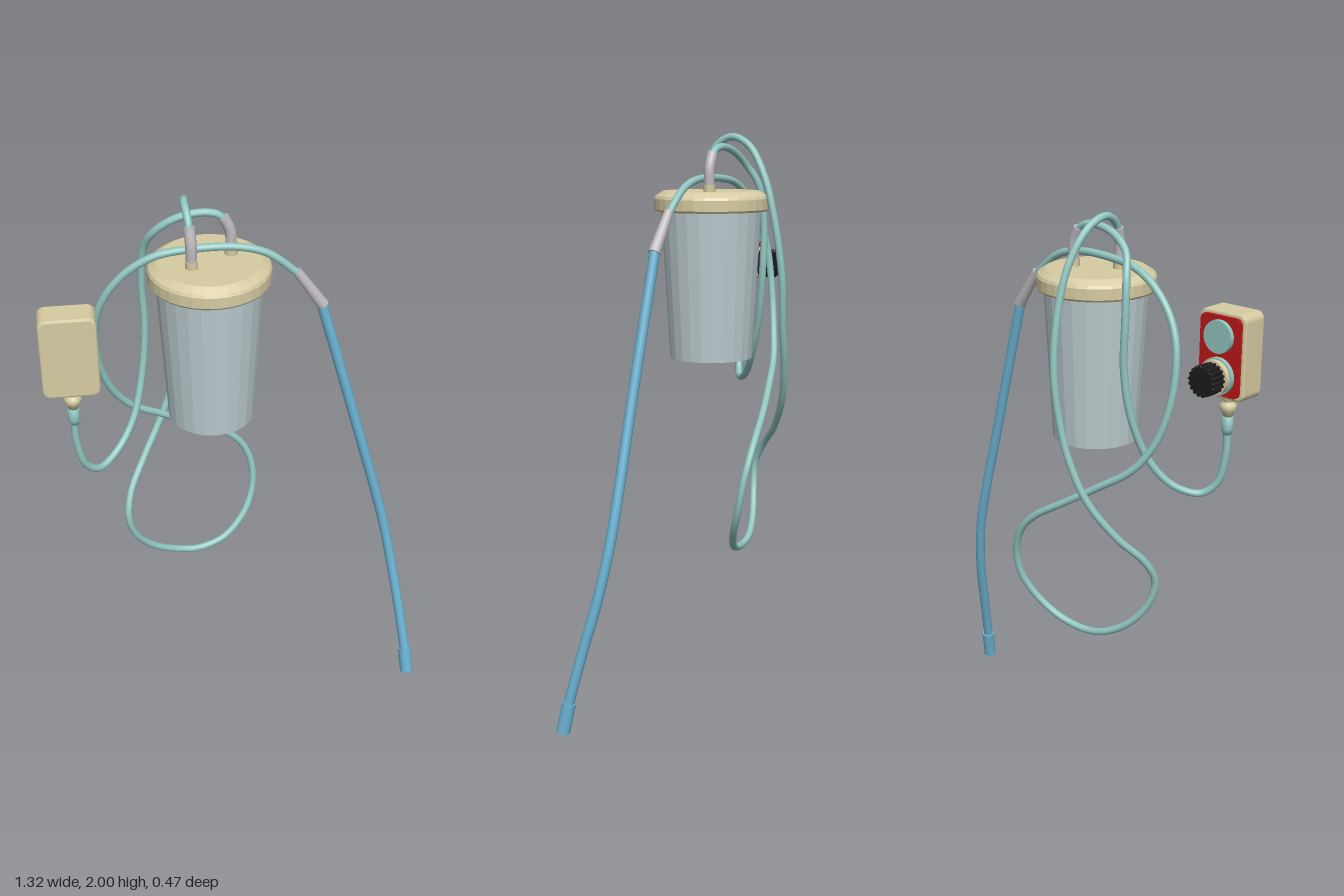
import * as THREE from 'three';

const mat = (color, extra = {}) => new THREE.MeshStandardMaterial({ color, ...extra });
const MATS = {
  cream: mat(0xd6cba2),
  lid: mat(0xd6cba2, { flatShading: true }),
  pail: mat(0xbccbce, { flatShading: true }),
  cable: mat(0x92c6c0),
  hose: mat(0x6cb4d4),
  hoseEnd: mat(0x6cb4d4, { side: THREE.DoubleSide }),
  sheath: mat(0xbfbabf),
  red: mat(0xc01818),
  black: mat(0x1c1c1c, { flatShading: true }),
};

const V = (p) => new THREE.Vector3(...p);

function add(parent, name, geometry, material, pos = [0, 0, 0]) {
  const mesh = new THREE.Mesh(geometry, material);
  mesh.name = name;
  mesh.position.set(...pos);
  parent.add(mesh);
  return mesh;
}

// Round tube running smoothly through a few points
function tube(parent, name, points, radius, material, steps) {
  const curve = new THREE.CatmullRomCurve3(points.map(V), false, 'centripetal');
  return add(parent, name, new THREE.TubeGeometry(curve, steps, radius, 12), material);
}

// Straight (optionally tapered) cylinder from a to b
function rod(parent, name, a, b, ra, rb, material, open = false) {
  const from = V(a), dir = V(b).sub(from);
  const geo = new THREE.CylinderGeometry(rb, ra, dir.length(), 16, 1, open);
  const mesh = add(parent, name, geo, material);
  mesh.position.copy(from).addScaledVector(dir, 0.5);
  mesh.quaternion.setFromUnitVectors(new THREE.Vector3(0, 1, 0), dir.normalize());
  return mesh;
}

function lathe(points, segments) {
  return new THREE.LatheGeometry(points.map((p) => new THREE.Vector2(...p)), segments);
}

// Plate with rounded corners, thickness along z from 0 to d
function roundedPlate(w, h, d, r, bevel) {
  const x = w / 2 - bevel, y = h / 2 - bevel, s = new THREE.Shape();
  s.absarc(x - r, y - r, r, 0, Math.PI / 2);
  s.absarc(-x + r, y - r, r, Math.PI / 2, Math.PI);
  s.absarc(-x + r, -y + r, r, Math.PI, Math.PI * 1.5);
  s.absarc(x - r, -y + r, r, Math.PI * 1.5, Math.PI * 2);
  const geo = new THREE.ExtrudeGeometry(s, {
    depth: d - 2 * bevel, bevelEnabled: bevel > 0, bevelSize: bevel,
    bevelThickness: bevel, bevelSegments: 2, curveSegments: 6,
  });
  return geo.translate(0, 0, bevel);
}

// Disc facing backwards, spanning z0 to z1
function disc(parent, name, radius, y, z0, z1, material) {
  const geo = new THREE.CylinderGeometry(radius, radius, z1 - z0, 28).rotateX(Math.PI / 2);
  return add(parent, name, geo, material, [0, y, (z0 + z1) / 2]);
}

function createPail() {
  const g = new THREE.Group();
  g.name = 'canister';
  g.position.set(-0.1, 0, 0.03);
  add(g, 'canisterBody', new THREE.CylinderGeometry(0.178, 0.147, 0.53, 24), MATS.pail, [0, 1.47, 0]);
  add(g, 'canisterLid', lathe([[0, 1.728], [0.198, 1.728], [0.203, 1.735], [0.203, 1.772],
    [0.198, 1.782], [0.172, 1.798], [0, 1.798]], 32), MATS.lid);
  return g;
}

function createControlBox() {
  const g = new THREE.Group();
  g.name = 'controlBox';
  g.position.set(-0.571, 1.571, 0);
  add(g, 'boxHousing', roundedPlate(0.186, 0.29, 0.1, 0.02, 0.007), MATS.cream, [0, 0, 0.11]);
  add(g, 'redFacePlate', roundedPlate(0.162, 0.266, 0.012, 0.022, 0), MATS.red, [0, 0, 0.1]);

  // Round push button
  disc(g, 'button', 0.055, 0.066, 0.084, 0.102, MATS.cable);
  // Stepped base and fluted knob
  disc(g, 'knobBase', 0.063, -0.066, 0.084, 0.102, MATS.cable);
  disc(g, 'knobCollar', 0.058, -0.066, 0.066, 0.085, MATS.cream);
  const flutes = [];
  for (let i = 0; i < 72; i++) {
    const a = (i / 72) * Math.PI * 2, r = i % 4 < 2 ? 0.052 : 0.046;
    flutes.push(new THREE.Vector2(r * Math.cos(a), r * Math.sin(a)));
  }
  const knob = new THREE.ExtrudeGeometry(new THREE.Shape(flutes), {
    depth: 0.054, bevelEnabled: true, bevelSize: 0.001, bevelThickness: 0.003, bevelSegments: 1,
  });
  add(g, 'knob', knob, MATS.black, [0, -0.066, 0.01]);

  // Cable gland below the housing
  const gland = lathe([[0, 0], [0.016, 0], [0.022, -0.008], [0.022, -0.018], [0.016, -0.022], [0.018, -0.028],
    [0.029, -0.034], [0.029, -0.052], [0.02, -0.06], [0.016, -0.078], [0, -0.078]].reverse(), 12);
  add(g, 'cableGland', gland, MATS.cream, [0, -0.142, 0.16]);
  add(g, 'glandSleeve', lathe([[0, -0.14], [0.014, -0.14], [0.02, -0.12], [0.02, -0.076], [0, -0.076]], 16),
    MATS.cable, [0, -0.142, 0.16]);
  return g;
}

// Collar and bent sheath where a cable enters the lid
function createInlet(name, base, mid, tip) {
  const g = new THREE.Group();
  g.name = name;
  rod(g, 'inletCollar', [base[0], 1.79, base[2]], [base[0], 1.822, base[2]], 0.021, 0.021, MATS.cream);
  tube(g, 'inletSheath', [base, mid, tip], 0.0185, MATS.sheath, 14);
  rod(g, 'inletSheathTip', mid.map((m, i) => m + (tip[i] - m) * 0.9), tip, 0.0186, 0.0186, MATS.sheath);
  return g;
}

export function createModel() {
  const model = new THREE.Group();
  model.name = 'canisterWithControlBoxAndHose';
  model.add(createPail(), createControlBox());

  model.add(createInlet('frontInlet', [-0.162, 1.81, 0.075], [-0.163, 1.88, 0.074], [-0.166, 1.935, 0.06]));
  model.add(createInlet('rearInlet', [-0.026, 1.81, -0.003], [-0.028, 1.88, -0.003], [-0.05, 1.93, -0.003]));

  // Cable from the control box up to the lid
  tube(model, 'controlCable', [
    [-0.571, 1.31, 0.16], [-0.57, 1.22, 0.16], [-0.545, 1.11, 0.15], [-0.498, 1.068, 0.122],
    [-0.43, 1.095, 0.06], [-0.37, 1.18, 0.005], [-0.33, 1.33, -0.045], [-0.312, 1.5, -0.068],
    [-0.316, 1.68, -0.07], [-0.305, 1.81, -0.055], [-0.27, 1.885, -0.02], [-0.2, 1.934, -0.006],
    [-0.115, 1.95, -0.003], [-0.06, 1.935, -0.003], [-0.03, 1.88, -0.003],
  ], 0.013, MATS.cable, 140);

  // Long looping cable from the lid, behind the canister, to the hose
  tube(model, 'loopCable', [
    [-0.163, 1.88, 0.074], [-0.168, 1.95, 0.05], [-0.174, 1.985, -0.01], [-0.166, 1.955, -0.085],
    [-0.148, 1.85, -0.155], [-0.14, 1.7, -0.2], [-0.147, 1.5, -0.228], [-0.17, 1.32, -0.222],
    [-0.205, 1.19, -0.212], [-0.26, 1.05, -0.18], [-0.335, 0.92, -0.11], [-0.39, 0.83, -0.035],
    [-0.405, 0.75, 0.005], [-0.385, 0.66, 0], [-0.32, 0.57, -0.03], [-0.23, 0.515, -0.06],
    [-0.145, 0.5, -0.072], [-0.045, 0.525, -0.095], [0.035, 0.6, -0.135], [0.073, 0.69, -0.172],
    [0.074, 0.79, -0.192], [0.04, 0.88, -0.2], [-0.02, 0.945, -0.193], [-0.125, 1.012, -0.168],
    [-0.255, 1.095, -0.128], [-0.37, 1.175, -0.088], [-0.44, 1.28, -0.052], [-0.477, 1.42, -0.025],
    [-0.477, 1.58, -0.003], [-0.44, 1.68, 0.013], [-0.37, 1.765, 0.022], [-0.28, 1.82, 0.028],
    [-0.17, 1.84, 0.031], [-0.01, 1.84, 0.034], [0.09, 1.81, 0.035], [0.2, 1.72, 0.036],
  ], 0.013, MATS.cable, 320);

  // Grey joint between cable and hose
  rod(model, 'hoseJoint', [0.185, 1.738, 0.036], [0.276, 1.606, 0.04], 0.016, 0.021, MATS.sheath);

  // Stiff blue hose with a slight bend and a wider open end
  tube(model, 'hose', [
    [0.27, 1.615, 0.04], [0.345, 1.35, 0.046], [0.42, 1.08, 0.052], [0.495, 0.81, 0.056],
    [0.535, 0.65, 0.065], [0.572, 0.46, 0.095], [0.6, 0.29, 0.136], [0.627, 0.1, 0.18], [0.633, 0.04, 0.192],
  ], 0.018, MATS.hose, 80);
  const top = [0.626, 0.11, 0.177], end = [0.637, 0.006, 0.196];
  rod(model, 'hoseEndSleeve', top, end, 0.024, 0.024, MATS.hoseEnd, true);
  rod(model, 'hoseEndShoulder', top, [0.6275, 0.1, 0.179], 0.0235, 0.0235, MATS.hose);
  rod(model, 'hoseEndPlug', [0.634, 0.035, 0.191], [0.6355, 0.02, 0.1935], 0.0235, 0.0235, MATS.black);
  return model;
}
